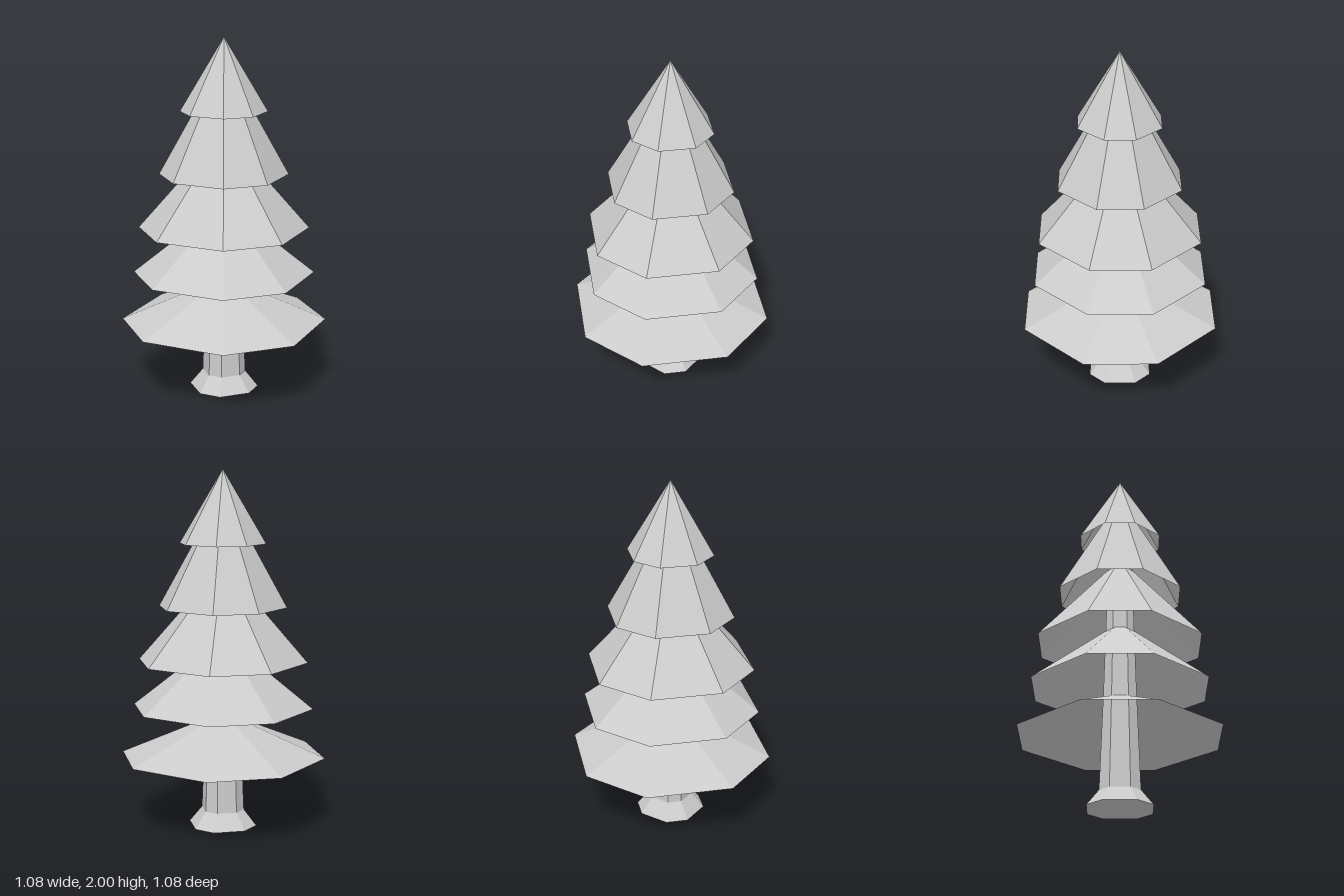
import * as THREE from 'three';

// Eight corners of a flat-fronted octagon; ratio = half side length / half width
function octagon(r, ratio) {
  const k = r * ratio;
  return [[-k, r], [k, r], [r, k], [r, -k], [k, -r], [-k, -r], [-r, -k], [-r, k]];
}

// Faceted skin through octagonal rings given as [radius, height]
function loft(rings, ratio) {
  const pos = [];
  for (let j = 0; j < rings.length - 1; j++) {
    const [r0, y0] = rings[j], [r1, y1] = rings[j + 1];
    const low = octagon(r0, ratio), high = octagon(r1, ratio);
    for (let i = 0; i < 8; i++) {
      const n = (i + 1) % 8;
      const a = [low[i][0], y0, low[i][1]], b = [low[n][0], y0, low[n][1]];
      const c = [high[n][0], y1, high[n][1]], d = [high[i][0], y1, high[i][1]];
      if (r0 > 0) pos.push(...a, ...b, ...c);
      if (r1 > 0) pos.push(...a, ...c, ...d);
    }
  }
  const geo = new THREE.BufferGeometry();
  geo.setAttribute('position', new THREE.Float32BufferAttribute(pos, 3));
  geo.computeVertexNormals();
  return geo;
}

export function createModel() {
  const tree = new THREE.Group();
  tree.name = 'pineTree';
  const solid = new THREE.MeshStandardMaterial({ color: 0xcccccc, flatShading: true });
  const shell = new THREE.MeshStandardMaterial({ color: 0xcccccc, flatShading: true, side: THREE.DoubleSide });

  const add = (name, geo, mat) => {
    const mesh = new THREE.Mesh(geo, mat);
    mesh.name = name;
    tree.add(mesh);
  };

  // Trunk with flared foot, tapering up inside the foliage
  add('trunk', loft([[0, 0], [0.175, 0], [0.11, 0.09], [0.09, 0.64], [0.065, 1.5], [0, 1.5]], 0.5), solid);

  // Hollow foliage skirts, bottom to top: [radius, rim height, apex height]
  const tiers = [
    [0.54, 0.4, 0.65],
    [0.475, 0.68, 1.085],
    [0.445, 0.94, 1.485],
    [0.335, 1.245, 1.89],
    [0.225, 1.595, 2],
  ];
  tiers.forEach(([r, rim, apex], i) => {
    add(`foliageTier${i + 1}`, loft([[r, rim], [0, apex]], 0.375), shell);
  });

  return tree;
}
